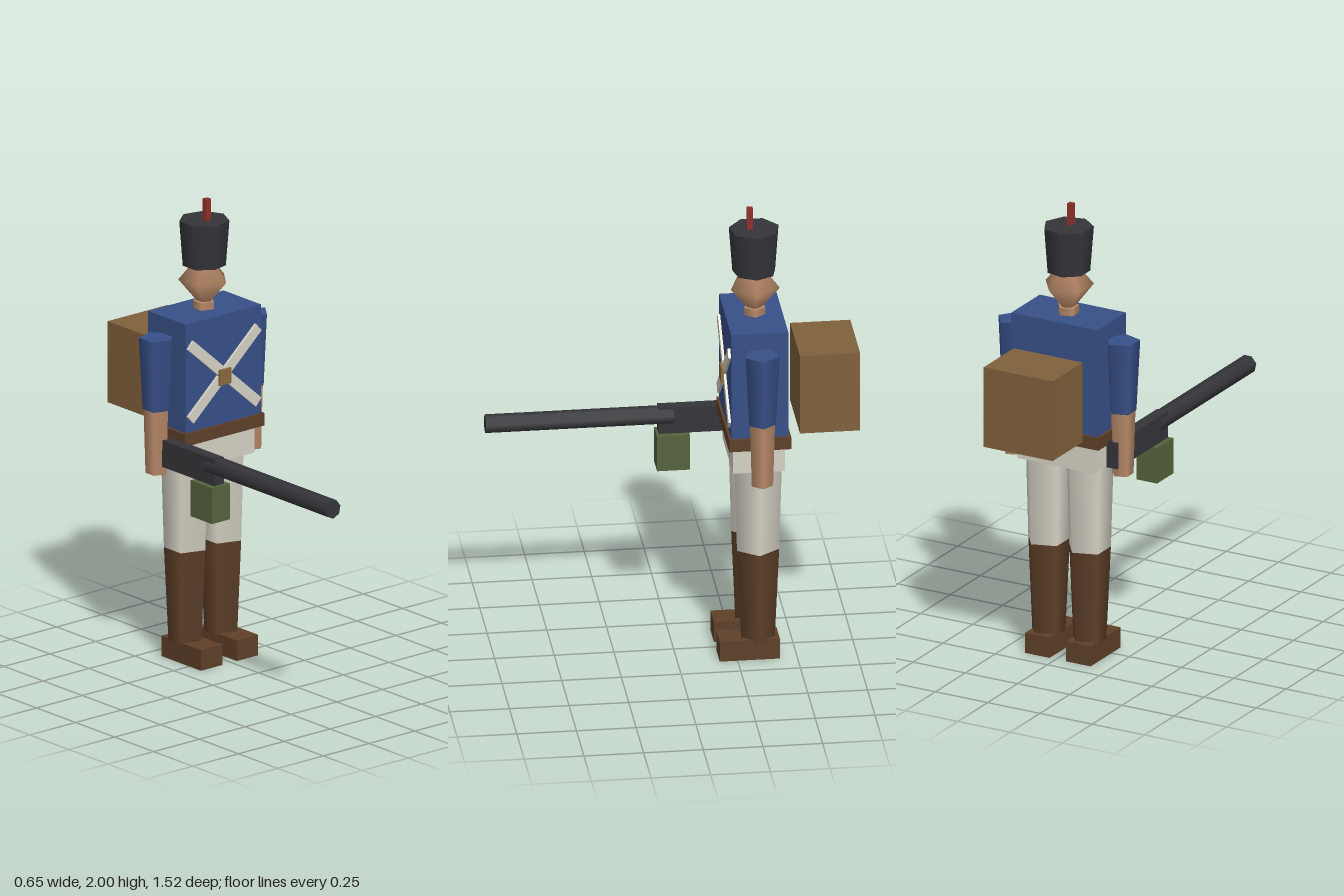
import * as THREE from 'three';

const mat = (name, color) => {
  const m = new THREE.MeshStandardMaterial({ color });
  m.name = name;
  return m;
};

export function createModel() {
  const blue = mat('coatBlue', 0x385088);
  const cream = mat('creamCloth', 0xd6d2c5);
  const skin = mat('skin', 0xb98a69);
  const darkLeather = mat('darkLeather', 0x5e4029);
  const packBrown = mat('packBrown', 0x80603c);
  const brass = mat('brass', 0x8a6a3c);
  const dark = mat('darkMetal', 0x35353a);
  const green = mat('oliveGreen', 0x55633b);
  const red = mat('plumeRed', 0x8f302a);

  const model = new THREE.Group();
  model.name = 'soldier';
  // the figure stands behind the origin because the gun reaches far forward
  const CX = -0.008, CZ = -0.339;

  const add = (name, geometry, material, x, y, z) => {
    const mesh = new THREE.Mesh(geometry, material);
    mesh.name = name;
    mesh.position.set(x, y, z);
    model.add(mesh);
    return mesh;
  };
  const box = (name, material, w, h, d, x, y, z) =>
    add(name, new THREE.BoxGeometry(w, h, d), material, x, y, z);
  // upright tapered prism with one corner towards +x
  const taper = (name, material, rTop, rBottom, y0, y1, x, z, sides = 5) =>
    add(name, new THREE.CylinderGeometry(rTop, rBottom, y1 - y0, sides).rotateY(Math.PI / 2),
      material, x, (y0 + y1) / 2, z);

  // trunk
  box('torso', blue, 0.412, 0.477, 0.239, CX, 1.2785, -0.3365);
  box('belt', darkLeather, 0.435, 0.055, 0.26, CX, 1.0135, -0.337);
  box('hips', cream, 0.366, 0.117, 0.217, -0.01, 0.9285, -0.3365);

  // crossed chest straps and buckle
  for (const s of [-1, 1]) {
    const strap = box('chestStrap', cream, 0.496, 0.045, 0.014, CX, 1.26, -0.213 + s * 0.0005);
    strap.rotation.z = s * 0.725;
  }
  box('buckle', brass, 0.064, 0.068, 0.02, -0.012, 1.25, -0.206);

  // arms and legs
  for (const [side, s] of [['left', 1], ['right', -1]]) {
    const ax = CX + s * 0.259, lx = CX + s * 0.098;
    taper(side + 'Sleeve', blue, 0.075, 0.059, 1.13, 1.443, ax, CZ);
    taper(side + 'Forearm', skin, 0.055, 0.047, 0.85, 1.13, ax, CZ);
    taper(side + 'TrouserLeg', cream, 0.106, 0.093, 0.49, 0.935, lx, CZ);
    taper(side + 'Boot', darkLeather, 0.093, 0.074, 0.08, 0.49, lx, CZ);
    box(side + 'Shoe', darkLeather, 0.117, 0.09, 0.252, lx - 0.001, 0.045, -0.301);
  }

  // neck, diamond-shaped head, tall hat with plume
  taper('neck', skin, 0.047, 0.047, 1.49, 1.55, CX, CZ);
  const headGeometry = new THREE.SphereGeometry(0.108, 5, 2).rotateY(Math.PI);
  const head = add('head', headGeometry, skin, CX, 1.643, CZ);
  head.scale.y = 1.22;
  taper('hat', dark, 0.107, 0.092, 1.708, 1.905, CX, CZ, 7);
  box('plume', red, 0.024, 0.11, 0.024, -0.01, 1.945, -0.32);

  // backpack
  box('backpack', packBrown, 0.33, 0.355, 0.252, -0.01, 1.2075, -0.636);

  // long gun held at the right hip
  const barrel = new THREE.CylinderGeometry(0.041, 0.041, 0.787, 7).rotateX(Math.PI / 2);
  add('gunBarrel', barrel, dark, -0.241, 0.963, 0.3665);
  box('gunStock', dark, 0.052, 0.117, 0.425, -0.246, 0.9445, -0.1775);
  box('gunMagazine', green, 0.098, 0.157, 0.138, -0.244, 0.8055, -0.024);

  return model;
}
